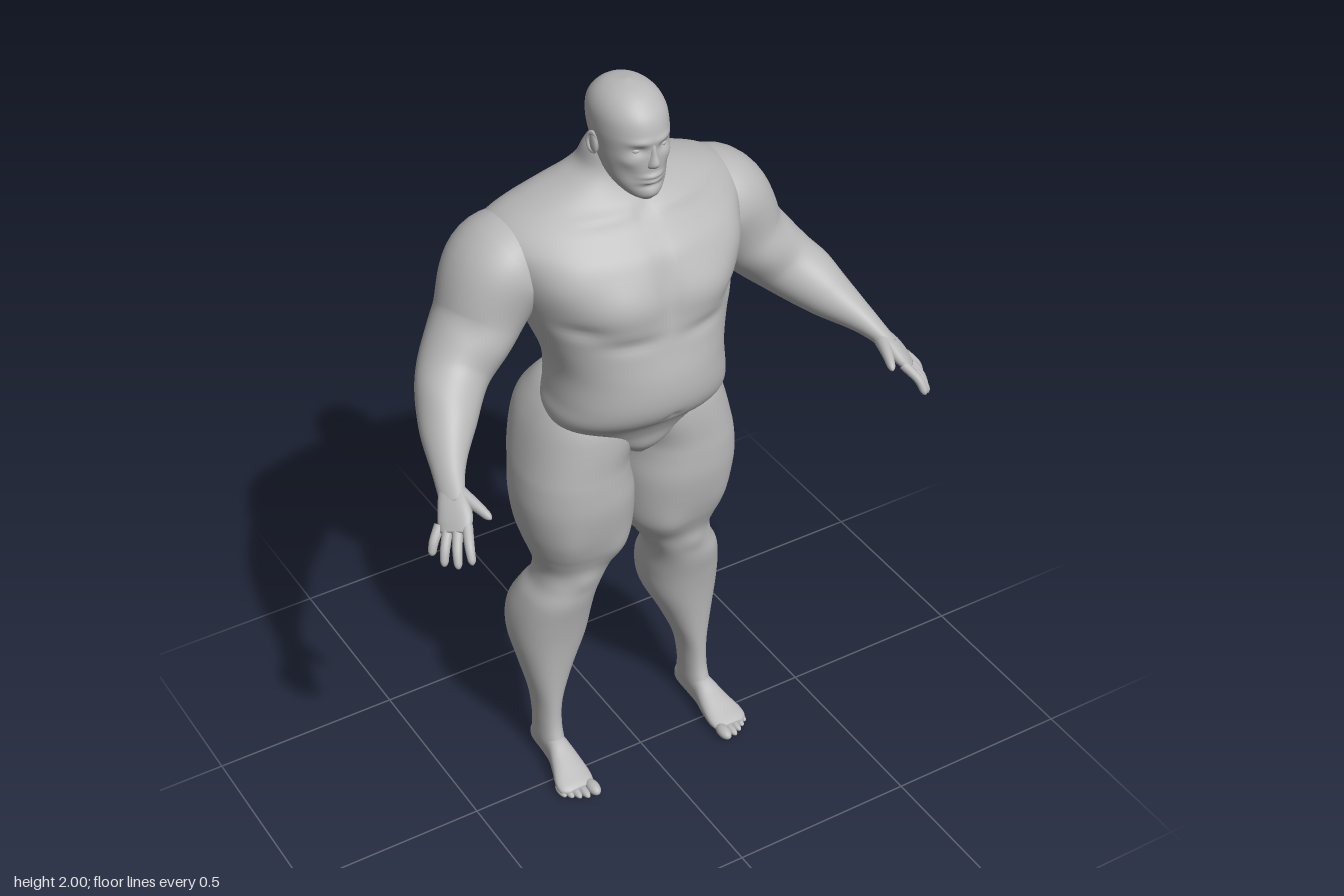
import * as THREE from 'three';

const skin = new THREE.MeshStandardMaterial({ color: 0xb8b8b8 });
skin.name = 'plain grey';

// Catmull-Rom blend of a table of rows at position f (0..1)
function sample(rows, f) {
  const s = f * (rows.length - 1), i = Math.min(Math.floor(s), rows.length - 2), t = s - i;
  const at = (k) => rows[Math.max(0, Math.min(rows.length - 1, k))];
  const [p, a, b, q] = [at(i - 1), at(i), at(i + 1), at(i + 2)];
  return a.map((_, k) => 0.5 * (2 * a[k] + (b[k] - p[k]) * t
    + (2 * p[k] - 5 * a[k] + 4 * b[k] - q[k]) * t * t
    + (3 * a[k] - p[k] - 3 * b[k] + q[k]) * t * t * t));
}

// Reverses the triangles when the closed surface is inside out
function faceOutward(geo) {
  const p = geo.attributes.position, ix = geo.index.array;
  const [a, b, c] = [new THREE.Vector3(), new THREE.Vector3(), new THREE.Vector3()];
  let volume = 0;
  for (let i = 0; i < ix.length; i += 3) {
    a.fromBufferAttribute(p, ix[i]);
    b.fromBufferAttribute(p, ix[i + 1]);
    c.fromBufferAttribute(p, ix[i + 2]);
    volume += a.dot(b.cross(c));
  }
  if (volume < 0) for (let i = 0; i < ix.length; i += 3) [ix[i], ix[i + 1]] = [ix[i + 1], ix[i]];
  geo.computeVertexNormals();
  return geo;
}

// Closed skin over rows [t, uMin, uMax, vMin, vMax] of rounded sections
function loft(rows, place, { sides = 48, steps = 5, power = 2.25 } = {}) {
  const rings = (rows.length - 1) * steps, pos = [], index = [];
  const round = (x) => Math.sign(x) * Math.abs(x) ** (2 / power);
  for (let r = 0; r <= rings; r++) {
    const [t, u0, u1, v0, v1] = sample(rows, r / rings);
    for (let s = 0; s < sides; s++) {
      const a = (s / sides) * Math.PI * 2;
      pos.push(...place((u0 + u1) / 2 + (u1 - u0) / 2 * round(Math.cos(a)),
        (v0 + v1) / 2 + (v1 - v0) / 2 * round(Math.sin(a)), t));
    }
  }
  for (const end of [0, rings]) {
    const [t, u0, u1, v0, v1] = sample(rows, end / rings);
    pos.push(...place((u0 + u1) / 2, (v0 + v1) / 2, t));
  }
  const c0 = (rings + 1) * sides;
  for (let s = 0; s < sides; s++) {
    const n = (s + 1) % sides, top = rings * sides;
    for (let r = 0; r < rings; r++) {
      const a = r * sides + s, b = r * sides + n;
      index.push(a, b, a + sides, b, b + sides, a + sides);
    }
    index.push(c0, n, s, c0 + 1, top + s, top + n);
  }
  const geo = new THREE.BufferGeometry();
  geo.setAttribute('position', new THREE.Float32BufferAttribute(pos, 3));
  geo.setIndex(index);
  return faceOutward(geo);
}
const upright = (u, v, t) => [u, t, v];
const forward = (u, v, t) => [u, v, t];
// Upright, with the sides swept back toward the shoulders
const sweptBack = (u, v, t) => [u, t, v - 0.5 * THREE.MathUtils.smoothstep(t, 1.35, 1.58) * u * u];

// Limb along a smooth path; radii are [across, deep], "across" follows ref
function limb(points, radii, ref, { rounded = false, ...opts } = {}) {
  const curve = new THREE.CatmullRomCurve3(points.map((p) => new THREE.Vector3(...p)));
  const side = new THREE.Vector3(...ref);
  const rows = radii.map(([a, b], i) => [i / (radii.length - 1), -a, a, -b, b]);
  return loft(rows, (u, v, t) => {
    const f = Math.max(0, Math.min(1, t)), T = curve.getTangent(f);
    const U = side.clone().addScaledVector(T, -side.dot(T)).normalize();
    const V = T.clone().cross(U);
    const k = rounded ? Math.sqrt(Math.max(0.02, 1 - Math.max(0, (f - 0.82) / 0.18) ** 2)) : 1;
    return curve.getPoint(f).addScaledVector(U, u * k).addScaledVector(V, v * k).toArray();
  }, opts);
}

// Muscle relief: soft swellings [x, y, z, rx, ry, rz, height], mirrored in x
function sculpt(geo, bumps) {
  const p = geo.attributes.position, n = geo.attributes.normal;
  for (let i = 0; i < p.count; i++) {
    let h = 0;
    for (const [x, y, z, rx, ry, rz, amount] of bumps) {
      h += amount * Math.exp(-(((Math.abs(p.getX(i)) - x) / rx) ** 2)
        - ((p.getY(i) - y) / ry) ** 2 - ((p.getZ(i) - z) / rz) ** 2);
    }
    p.setXYZ(i, p.getX(i) + n.getX(i) * h, p.getY(i) + n.getY(i) * h, p.getZ(i) + n.getZ(i) * h);
  }
  geo.computeVertexNormals();
  return geo;
}

function ball(x, y, z, rx, ry, rz) {
  return new THREE.SphereGeometry(1, 20, 14).scale(rx, ry, rz).translate(x, y, z);
}

export function createModel() {
  const model = new THREE.Group();
  model.name = 'muscularFigure';
  const add = (name, geo) => {
    const mesh = new THREE.Mesh(geo, skin);
    mesh.name = name;
    model.add(mesh);
  };
  const pair = (name, geo) => {
    add(name + 'Left', geo);
    add(name + 'Right', faceOutward(geo.clone().scale(-1, 1, 1)));
  };

  // Torso from groin to neck: y, half width, front z, back z
  const torso = [
    [0.99, 0.03, 0.01, -0.1], [1.03, 0.085, 0.045, -0.13], [1.08, 0.165, 0.062, -0.165],
    [1.13, 0.222, 0.092, -0.205], [1.17, 0.232, 0.138, -0.222], [1.22, 0.224, 0.16, -0.222],
    [1.3, 0.22, 0.16, -0.24], [1.38, 0.243, 0.148, -0.285], [1.45, 0.272, 0.14, -0.298],
    [1.52, 0.3, 0.132, -0.298], [1.6, 0.328, 0.102, -0.288], [1.645, 0.33, 0.063, -0.268],
    [1.685, 0.285, 0.025, -0.245], [1.72, 0.212, -0.005, -0.225], [1.75, 0.142, -0.022, -0.205],
    [1.78, 0.099, -0.03, -0.188], [1.83, 0.082, -0.04, -0.16], [1.89, 0.05, -0.05, -0.12],
  ].map(([y, w, f, b]) => [y, -w, w, b, f]);
  add('torso', sculpt(loft(torso, sweptBack, { sides: 96, steps: 6 }), [
    [0.12, 1.5, 0.11, 0.09, 0.07, 0.08, 0.02],      // chest
    [0.22, 1.56, 0.04, 0.08, 0.06, 0.08, 0.016],
    [0, 1.53, 0.13, 0.018, 0.1, 0.08, -0.012],      // breastbone
    [0.1, 1.41, 0.14, 0.07, 0.018, 0.07, -0.008],   // under chest
    [0.2, 1.45, 0.08, 0.05, 0.02, 0.07, -0.008],
    [0, 1.27, 0.16, 0.12, 0.08, 0.06, 0.006],       // belly
    [0, 1.185, 0.155, 0.012, 0.01, 0.04, -0.008],   // navel
    [0, 1.48, -0.3, 0.028, 0.2, 0.08, -0.028],      // spine
    [0, 1.25, -0.22, 0.025, 0.1, 0.06, -0.014],
    [0.1, 1.52, -0.29, 0.07, 0.12, 0.06, 0.016],    // shoulder blades
    [0.16, 1.4, -0.24, 0.07, 0.05, 0.07, 0.014],    // lower back wings
    [0.07, 1.25, -0.22, 0.035, 0.09, 0.05, 0.008],
    [0.12, 1.69, 0.02, 0.1, 0.015, 0.05, 0.006],    // collar bones
    [0, 1.69, 0.02, 0.02, 0.02, 0.04, -0.008],
  ]));

  // Head: y, half width, front z, back z
  const head = [
    [1.735, 0.018, 0.04, 0.0], [1.75, 0.043, 0.051, -0.05], [1.78, 0.065, 0.055, -0.1],
    [1.82, 0.076, 0.058, -0.14], [1.86, 0.082, 0.059, -0.165], [1.9, 0.086, 0.058, -0.176],
    [1.94, 0.083, 0.046, -0.172], [1.97, 0.068, 0.02, -0.15], [1.99, 0.041, -0.012, -0.118],
    [2.0, 0.004, -0.055, -0.065],
  ].map(([y, w, f, b]) => [y, -w, w, b, f]);
  add('head', sculpt(loft(head, upright, { sides: 120, steps: 12, power: 2.1 }), [
    [0.033, 1.873, 0.05, 0.018, 0.012, 0.03, -0.008], // eye sockets
    [0.03, 1.893, 0.055, 0.03, 0.009, 0.03, 0.004],   // brow
    [0.052, 1.845, 0.035, 0.02, 0.016, 0.03, 0.004],  // cheekbones
    [0.05, 1.805, 0.04, 0.018, 0.022, 0.03, -0.003],  // cheeks
    [0, 1.757, 0.05, 0.022, 0.013, 0.03, 0.004],      // chin
    [0, 1.777, 0.055, 0.03, 0.007, 0.03, -0.004],
    [0, 1.804, 0.056, 0.024, 0.006, 0.03, 0.007],     // lips
    [0, 1.79, 0.056, 0.021, 0.006, 0.03, 0.007],
  ]));
  add('nose', loft([
    [1.822, -0.007, 0.007, 0.03, 0.056], [1.829, -0.016, 0.016, 0.03, 0.068],
    [1.84, -0.015, 0.015, 0.03, 0.075], [1.86, -0.01, 0.01, 0.03, 0.068],
    [1.882, -0.008, 0.008, 0.03, 0.061], [1.9, -0.006, 0.006, 0.03, 0.052],
  ], upright, { sides: 20, power: 2 }));
  pair('eye', ball(0.033, 1.871, 0.033, 0.014, 0.008, 0.012));
  pair('ear', ball(0.085, 1.855, -0.066, 0.007, 0.026, 0.015));
  pair('earRim', new THREE.TorusGeometry(0.015, 0.004, 8, 24).scale(1, 1.6, 1)
    .rotateY(Math.PI / 2 - 0.35).translate(0.087, 1.857, -0.068));

  // Legs from hip to ankle: y, inner x, outer x, front z, back z
  const leg = [
    [1.245, 0.09, 0.14, -0.06, -0.14], [1.205, 0.045, 0.198, -0.01, -0.205],
    [1.165, 0.0, 0.232, 0.03, -0.245], [1.12, -0.022, 0.256, 0.053, -0.276],
    [1.07, -0.022, 0.273, 0.06, -0.281], [1.0, 0.006, 0.289, 0.061, -0.268],
    [0.95, 0.007, 0.297, 0.063, -0.252], [0.88, -0.006, 0.301, 0.062, -0.247],
    [0.8, -0.008, 0.291, 0.049, -0.239], [0.74, -0.002, 0.275, 0.033, -0.22],
    [0.7, 0.014, 0.261, 0.018, -0.202], [0.65, 0.046, 0.247, 0.0, -0.19],
    [0.6, 0.075, 0.254, -0.004, -0.191], [0.55, 0.088, 0.279, -0.01, -0.217],
    [0.48, 0.09, 0.297, -0.026, -0.253], [0.4, 0.102, 0.299, -0.04, -0.254],
    [0.3, 0.148, 0.28, -0.05, -0.215], [0.2, 0.187, 0.26, -0.054, -0.18],
    [0.12, 0.196, 0.257, -0.05, -0.162], [0.06, 0.197, 0.258, -0.03, -0.165],
    [0.02, 0.205, 0.25, -0.03, -0.16],
  ].map(([y, i, o, f, b]) => [y, i, o, b, f]);
  pair('leg', sculpt(loft(leg, upright, { sides: 64 }), [
    [0.09, 1.08, -0.26, 0.07, 0.07, 0.07, 0.006],   // buttock
    [0.14, 0.985, -0.25, 0.1, 0.025, 0.06, -0.006], // buttock fold
    [0.08, 0.73, 0.0, 0.04, 0.05, 0.05, 0.009],     // inner thigh over knee
    [0.22, 0.78, 0.02, 0.04, 0.08, 0.05, 0.006],
    [0.16, 0.635, 0.0, 0.035, 0.03, 0.04, 0.008],   // kneecap
    [0.16, 0.62, -0.19, 0.04, 0.05, 0.04, -0.006],  // back of knee
    [0.19, 0.45, -0.25, 0.02, 0.09, 0.05, -0.004],  // calf split
  ]));

  // Feet, heel to toes: z, inner x, outer x, bottom y, top y
  pair('foot', loft([
    [-0.172, 0.217, 0.238, 0.02, 0.045], [-0.155, 0.204, 0.25, 0.003, 0.07],
    [-0.1, 0.2, 0.254, 0, 0.09], [-0.045, 0.197, 0.26, 0, 0.09],
    [0.0, 0.19, 0.273, 0, 0.068], [0.045, 0.186, 0.288, 0, 0.045],
    [0.072, 0.19, 0.286, 0.003, 0.032], [0.085, 0.196, 0.268, 0.008, 0.024],
  ], forward, { sides: 40, power: 2.4 }));
  [[0.204, 0.094, 0.017, 0.031], [0.229, 0.088, 0.0115, 0.031], [0.248, 0.079, 0.011, 0.03],
    [0.265, 0.069, 0.0105, 0.028], [0.28, 0.058, 0.01, 0.026]].forEach(([x, z, r, len], i) =>
    pair('toe' + (i + 1), ball(x, r * 0.95, z, r, r * 0.95, len)));

  // Arms, shoulder to wrist
  pair('arm', sculpt(limb(
    [[0.18, 1.585, -0.14], [0.293, 1.556, -0.146], [0.38, 1.432, -0.122], [0.46, 1.345, -0.085],
      [0.53, 1.277, 0.01], [0.582, 1.228, 0.11], [0.612, 1.19, 0.187]],
    [[0.085, 0.09], [0.121, 0.136], [0.1, 0.108], [0.085, 0.09], [0.064, 0.07], [0.034, 0.042], [0.019, 0.033]],
    [0.7, 0.7, 0], { sides: 56, steps: 10, power: 2.1 }), [
    [0.43, 1.47, -0.1, 0.03, 0.03, 0.08, -0.006],   // shoulder notch
    [0.38, 1.41, -0.02, 0.05, 0.05, 0.04, 0.008],   // biceps
    [0.43, 1.41, -0.22, 0.06, 0.06, 0.05, 0.01],    // triceps
    [0.54, 1.35, -0.03, 0.04, 0.04, 0.06, 0.007],   // outer forearm
  ]));

  // Hands: palm, four fingers and thumb
  pair('palm', limb([[0.592, 1.217, 0.135], [0.61, 1.192, 0.183], [0.624, 1.168, 0.215], [0.637, 1.15, 0.232]],
    [[0.028, 0.018], [0.039, 0.021], [0.044, 0.017], [0.036, 0.01]], [0.55, -0.2, -0.8], { sides: 28, power: 2.5 }));
  [['indexFinger', [0.608, 1.168, 0.243], [0.626, 1.14, 0.286], [0.632, 1.108, 0.309]],
    ['middleFinger', [0.626, 1.158, 0.23], [0.648, 1.124, 0.266], [0.657, 1.09, 0.286]],
    ['ringFinger', [0.641, 1.152, 0.21], [0.665, 1.117, 0.238], [0.676, 1.082, 0.252]],
    ['littleFinger', [0.652, 1.152, 0.19], [0.677, 1.122, 0.206], [0.687, 1.092, 0.213]],
  ].forEach(([name, ...path]) => pair(name, limb(path,
    [[0.013, 0.013], [0.0115, 0.0115], [0.009, 0.009]], [0.55, -0.2, -0.8],
    { rounded: true, sides: 16, steps: 12, power: 2 })));
  pair('thumb', limb([[0.592, 1.208, 0.165], [0.574, 1.198, 0.22], [0.558, 1.182, 0.267]],
    [[0.022, 0.02], [0.0145, 0.014], [0.01, 0.009]], [0, 1, 0],
    { rounded: true, sides: 16, steps: 12, power: 2 }));

  return model;
}
